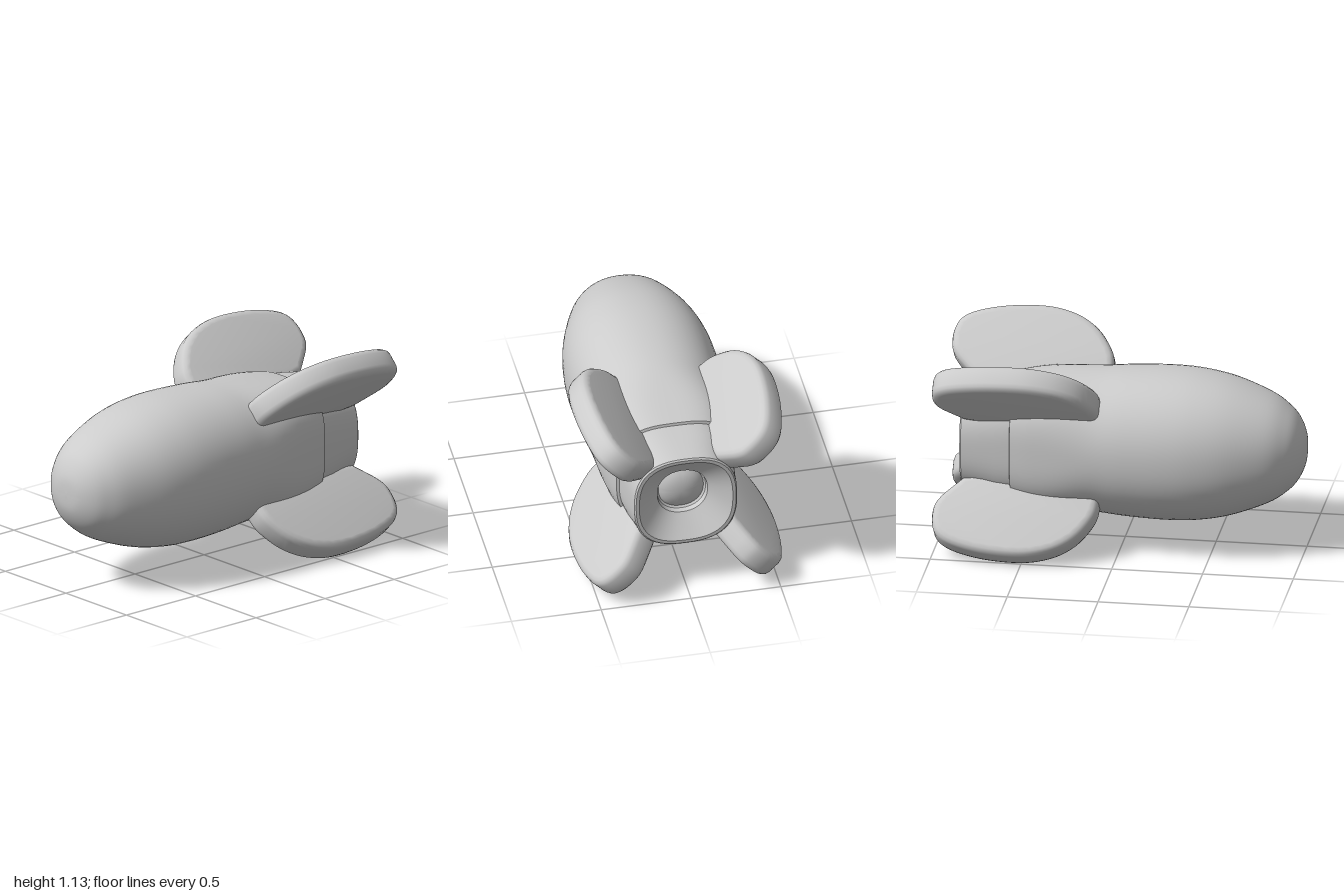
import * as THREE from 'three';
import { toCreasedNormals } from 'three/addons/utils/BufferGeometryUtils.js';

const AXIS_Y = 0.567;
const material = new THREE.MeshStandardMaterial({ color: 0xcccccc });
const { smoothstep } = THREE.MathUtils;

function mesh(name, geometry) {
  const m = new THREE.Mesh(geometry, material);
  m.name = name;
  return m;
}

// Squareness of the section: swells into the fin roots, eases off at the rim and inside the nozzle.
function exponent(r, z) {
  const swell = 0.95 * smoothstep(-z, 0.1, 0.5) - 0.5 * smoothstep(-z, 0.62, 0.87);
  return 2.18 + swell * smoothstep(r, 0.18, 0.26);
}

// Profile of [radius, z], tail to nose, turned about z with a squared-off section.
function turned(points, crease) {
  const geo = new THREE.LatheGeometry(points, 64).rotateX(Math.PI / 2);
  const p = geo.attributes.position;
  for (let i = 0; i < p.count; i++) {
    const x = p.getX(i), y = p.getY(i), r = Math.hypot(x, y);
    if (r < 1e-5) continue;
    const n = exponent(r, p.getZ(i));
    const k = Math.pow(Math.abs(x / r) ** n + Math.abs(y / r) ** n, -1 / n);
    p.setXY(i, x * k, y * k);
  }
  return toCreasedNormals(geo, crease);
}

const vectors = (list) => list.map(([a, b]) => new THREE.Vector2(a, b));

// Rounded paddle fin, outlined in (radius, z) and extruded through its thickness.
function finGeometry() {
  const edge = new THREE.SplineCurve(vectors([
    [0.4, -0.1], [0.49, -0.115], [0.61, -0.19], [0.69, -0.29], [0.735, -0.41],
    [0.75, -0.54], [0.738, -0.72], [0.7, -0.88], [0.65, -0.965], [0.575, -1.0],
    [0.48, -1.0], [0.42, -0.97], [0.36, -0.915], [0.3, -0.855],
  ])).getPoints(52);
  const shape = new THREE.Shape([...vectors([[0.26, -0.7], [0.26, -0.1]]), ...edge]);
  const bevel = 0.04;
  const geo = new THREE.ExtrudeGeometry(shape, {
    depth: 0.15 - 2 * bevel, bevelThickness: bevel, bevelSize: bevel,
    bevelOffset: -bevel, bevelSegments: 3, steps: 1,
  });
  geo.translate(0, 0, bevel - 0.075).rotateX(Math.PI / 2);
  return toCreasedNormals(geo, 0.6);
}

export function createModel() {
  const group = new THREE.Group();
  const axis = new THREE.Group();
  axis.name = 'rocketBody';
  axis.position.y = AXIS_Y;
  group.add(axis);

  // Blunt-nosed hull
  const hull = new THREE.SplineCurve(vectors([
    [0.328, -0.59], [0.35, -0.48], [0.376, -0.3], [0.397, -0.1], [0.41, 0.05],
    [0.417, 0.25], [0.408, 0.42], [0.373, 0.6], [0.298, 0.8], [0.232, 0.9],
    [0.172, 0.955], [0.09, 0.992], [0, 1.0],
  ])).getPoints(60);
  hull[hull.length - 1].x = 0;
  axis.add(mesh('hull', turned([new THREE.Vector2(0.29, -0.6), ...hull], 0.6)));

  // Tail band with a conical nozzle and a shallow domed core
  axis.add(mesh('tailNozzle', turned(vectors([
    [0, -0.775], [0.06, -0.768], [0.1, -0.755], [0.125, -0.735], [0.135, -0.745],
    [0.14, -0.775], [0.155, -0.785], [0.25, -0.865], [0.26, -0.873],
    [0.278, -0.873], [0.286, -0.865], [0.292, -0.8], [0.306, -0.68], [0.314, -0.58],
  ]), 0.6)));

  // Four diagonal fins
  const finGeo = finGeometry();
  for (let i = 0; i < 4; i++) {
    const fin = mesh('fin', finGeo);
    fin.rotation.z = Math.PI / 4 + (i * Math.PI) / 2;
    axis.add(fin);
  }
  return group;
}
